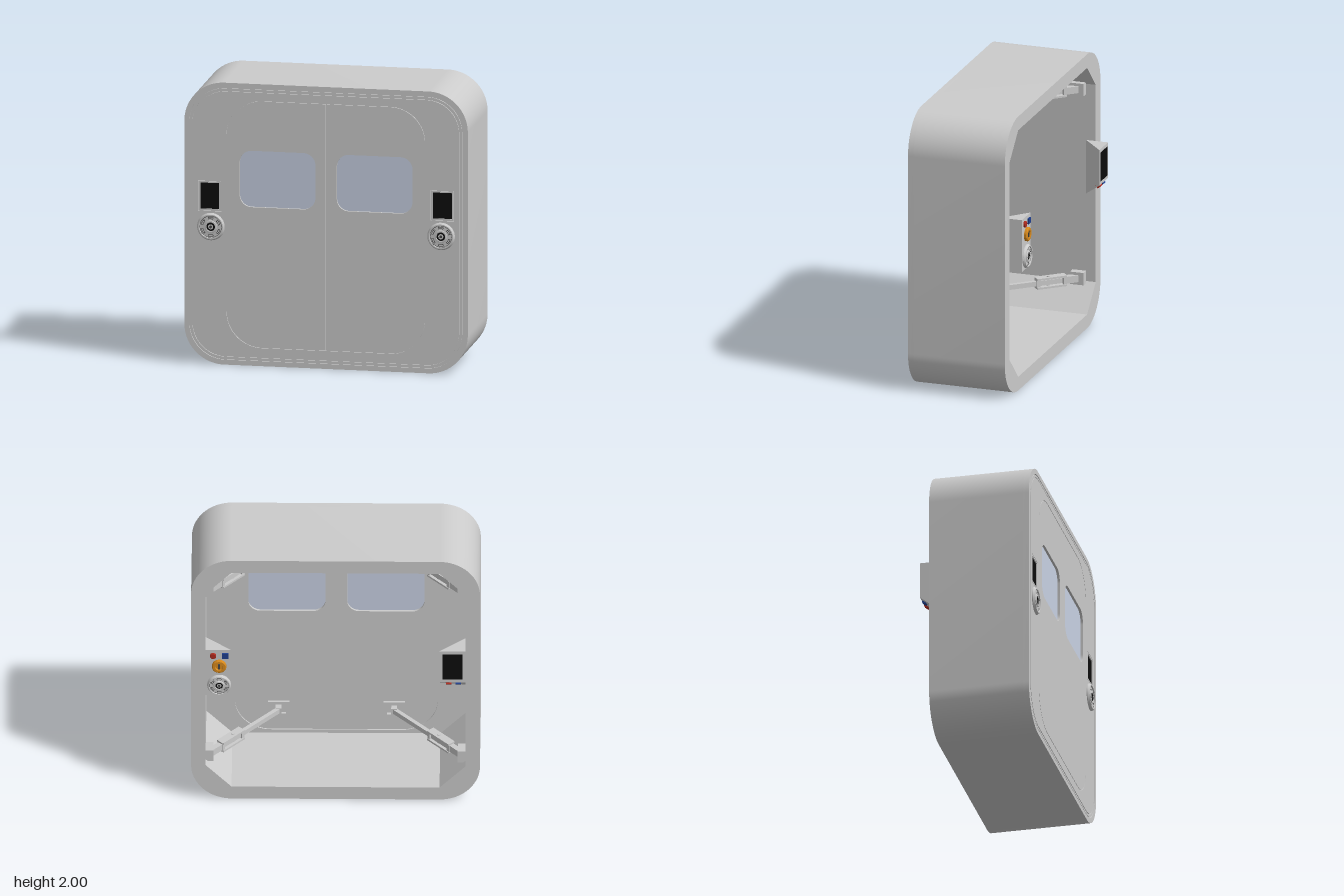
import * as THREE from 'three';
import { toCreasedNormals } from 'three/addons/utils/BufferGeometryUtils.js';

const material = (color) => new THREE.MeshStandardMaterial({ color });
const grey = material(0xcccccc), black = material(0x0c0c0c), dark = material(0x444444);
const glass = material(0xc9d2e4), red = material(0xb02a1e), blue = material(0x1f3f8f), orange = material(0xd98a1c);

// Rounded rectangle; rl and rr are the corner radii on its -x and +x sides
function roundRect(x0, y0, x1, y1, rl = 0, rr = rl, Type = THREE.Shape) {
  const p = new Type();
  p.moveTo(x0 + rl, y0);
  p.lineTo(x1 - rr, y0);
  if (rr) p.absarc(x1 - rr, y0 + rr, rr, -Math.PI / 2, 0);
  p.lineTo(x1, y1 - rr);
  if (rr) p.absarc(x1 - rr, y1 - rr, rr, 0, Math.PI / 2);
  p.lineTo(x0 + rl, y1);
  if (rl) p.absarc(x0 + rl, y1 - rl, rl, Math.PI / 2, Math.PI);
  p.lineTo(x0, y0 + rl);
  if (rl) p.absarc(x0 + rl, y0 + rl, rl, Math.PI, Math.PI * 1.5);
  return p;
}
const inset = (d) => roundRect(-1 + d, d, 1 - d, 2 - d, 0.28 - d * 0.8);
// Rectangle spanning x0..x1 on the chosen side
const sided = (s, x0, y0, x1, y1, r) =>
  s > 0 ? roundRect(x0, y0, x1, y1, r) : roundRect(-x1, y0, -x0, y1, r);

function add(parent, name, geometry, mat = grey, x = 0, y = 0, z = 0) {
  const mesh = new THREE.Mesh(geometry, mat);
  mesh.name = name;
  mesh.position.set(x, y, z);
  parent.add(mesh);
  return mesh;
}
function slab(parent, name, shape, z0, z1, holes = [], mat = grey) {
  shape.holes.push(...holes);
  const g = new THREE.ExtrudeGeometry(shape, { depth: z1 - z0, bevelEnabled: false, curveSegments: 14 });
  return add(parent, name, toCreasedNormals(g, 0.5), mat, 0, 0, z0);
}
// Turned part whose axis is +z, from [radius, height] points
function turned(points, segments = 40) {
  const g = new THREE.LatheGeometry(points.map(([r, h]) => new THREE.Vector2(r, h)), segments);
  return toCreasedNormals(g.rotateX(Math.PI / 2), 0.5);
}

// Round handle: flared rim, recessed track with arc slots, hub with socket
function dial(name, radius) {
  const g = new THREE.Group(), r = radius;
  g.name = name;
  add(g, 'dialBody', turned([[r, 0], [r, 0.006], [r * 0.9, 0.02], [r * 0.82, 0.02], [r * 0.8, 0.012],
    [r * 0.46, 0.012], [r * 0.44, 0.018], [r * 0.34, 0.02], [r * 0.3, 0.012], [0, 0.012]]));
  add(g, 'dialSocket', new THREE.TorusGeometry(r * 0.25, r * 0.06, 8, 28), black, 0, 0, 0.013);
  add(g, 'dialPin', turned([[r * 0.1, 0.01], [r * 0.1, 0.017], [0, 0.017]], 20), dark);
  add(g, 'dialTrackLine', new THREE.RingGeometry(r * 0.77, r * 0.8, 40), dark, 0, 0, 0.0125);
  for (let i = 0; i < 6; i++) {
    const a = i * Math.PI / 3 + Math.PI / 6 - 0.3;
    add(g, 'dialSlot', new THREE.RingGeometry(r * 0.56, r * 0.72, 8, 1, a, 0.6), dark, 0, 0, 0.0125);
    add(g, 'dialGrip', new THREE.RingGeometry(r * 0.6, r * 0.68, 8, 1, a + 0.06, 0.48), grey, 0, 0, 0.013);
  }
  return g;
}

// Wedge bracket fixed to the side wall; its back face lies on z = -0.4
function wedge(parent, name, s, y0, y1, lift) {
  const shape = new THREE.Shape([[0.9, 0.4], [0.72, 0.4], [0.9, 0.24]].map(([x, y]) => new THREE.Vector2(s * x, y)));
  const g = new THREE.ExtrudeGeometry(shape, { depth: y1 - y0, bevelEnabled: false });
  g.rotateX(-Math.PI / 2).translate(0, y0, 0);
  const p = g.attributes.position;
  for (let i = 0; i < p.count; i++)
    if (p.getY(i) < y0 + 0.001 && p.getZ(i) < -0.39) p.setY(i, y0 + lift);
  g.computeVertexNormals();
  return add(parent, name, g);
}

// Diagonal strut between side wall and door, with clevis and door plate
function strut(s, y) {
  const g = new THREE.Group(), bar = new THREE.Group();
  g.name = 'doorStrut';
  const dx = -s * 0.46, dz = 0.51, len = Math.hypot(dx, dz);
  bar.name = 'strutBar';
  bar.position.set(s * 0.86, y, -0.19);
  bar.rotation.y = Math.atan2(-dz, dx);
  g.add(bar);
  const box = (n, x, yy, z, w, h, d) => add(bar, n, new THREE.BoxGeometry(w, h, d), grey, x, yy, z);
  box('strutArm', len / 2 + 0.06, 0, 0, len - 0.12, 0.035, 0.03);
  box('clevisTail', 0.05, 0, 0, 0.12, 0.05, 0.04);
  for (const k of [-1, 1]) {
    box('clevisCheek', 0.2, k * 0.032, 0, 0.22, 0.014, 0.06);
    box('clevisBridge', 0.2 + k * 0.1, 0, 0, 0.025, 0.075, 0.05);
  }
  add(bar, 'clevisPin', new THREE.CylinderGeometry(0.012, 0.012, 0.09, 14), grey, 0.22);
  add(g, 'wallMount', new THREE.BoxGeometry(0.06, 0.09, 0.1), grey, s * 0.875, y, -0.19);
  const c = s * 0.4;
  slab(g, 'doorPlate', roundRect(c - 0.075, y - 0.06, c + 0.075, y + 0.06), 0.33, 0.35,
    [roundRect(c - 0.05, y - 0.038, c + 0.05, y + 0.038, 0, 0, THREE.Path)]);
  add(g, 'doorLug', new THREE.BoxGeometry(0.04, 0.05, 0.05), grey, c, y, 0.33);
  return g;
}

export function createModel() {
  const root = new THREE.Group();
  root.name = 'doorModule';
  const sides = [-1, 1];
  const windows = () => sides.map((s) => sided(s, 0.075, 1.125, 0.61, 1.525, 0.085));
  const screens = () => sides.map((s) => sided(s, 0.738, 1.085, 0.904, 1.3, 0));
  const doorway = () => roundRect(-0.703, 0.127, 0.703, 1.883, 0.25);

  // Hollow surround with chamfered inner corners
  const w = 0.9, c = 0.72;
  const octagon = new THREE.Path([[w, -c], [w, c], [c, w], [-c, w], [-w, c], [-w, -c], [-c, -w], [c, -w]]
    .map(([x, y]) => new THREE.Vector2(x, y + 1)));
  slab(root, 'surround', inset(0), -0.31, 0.36, [octagon]);

  // Front wall: core, rim band and framed skins with narrow gaps around the doors
  slab(root, 'wallCore', inset(0), 0.36, 0.39, windows());
  slab(root, 'frontRim', inset(0), 0.39, 0.4, [inset(0.035)]);
  slab(root, 'frontBead', inset(0.041), 0.39, 0.399, [inset(0.056)]);
  slab(root, 'frontFrame', inset(0.062), 0.39, 0.4, [doorway(), ...screens()]);
  slab(root, 'innerFrame', roundRect(-0.91, 0.09, 0.91, 1.91, 0.2), 0.35, 0.36, [doorway()]);

  for (const s of sides) {
    // Sliding door leaf, inside and outside skins, and its window
    for (const [z0, z1] of [[0.35, 0.36], [0.39, 0.4]]) {
      const leaf = s > 0 ? roundRect(0.004, 0.133, 0.697, 1.877, 0, 0.244) : roundRect(-0.697, 0.133, -0.004, 1.877, 0.244, 0);
      slab(root, 'doorLeaf', leaf, z0, z1, [sided(s, 0.075, 1.125, 0.61, 1.525, 0.085)]);
    }
    slab(root, 'windowPane', sided(s, 0.07, 1.12, 0.615, 1.53, 0.085), 0.367, 0.383, [], glass);

    // Outside screen and handle
    slab(root, 'screenFrame', sided(s, 0.742, 1.089, 0.9, 1.296, 0), 0.39, 0.4,
      [sided(s, 0.754, 1.1, 0.888, 1.285, 0)]);
    slab(root, 'outsideScreen', sided(s, 0.75, 1.095, 0.892, 1.29, 0), 0.388, 0.392, [], black);
    const handle = dial('outsideHandle', 0.097);
    handle.position.set(s * 0.812, 0.976, 0.4);
    root.add(handle);

    for (const y of [0.31, 1.69]) root.add(strut(s, y));
  }

  // Control panel on the left inner wall
  wedge(root, 'controlPanel', 1, 0.93, 1.31, 0);
  const controls = new THREE.Group();
  controls.name = 'panelControls';
  controls.position.set(0.805, 0, -0.4);
  controls.rotation.y = Math.PI;
  root.add(controls);
  const wheel = dial('panelHandle', 0.083);
  wheel.position.set(0, 1.02, 0);
  controls.add(wheel);
  add(controls, 'rotaryKnob', turned([[0.05, 0], [0.05, 0.016], [0.044, 0.022], [0.028, 0.022], [0.024, 0.012], [0, 0.012]]), orange, 0, 1.18, 0);
  add(controls, 'knobGrip', new THREE.BoxGeometry(0.014, 0.04, 0.012), dark, 0, 1.18, 0.014);
  add(controls, 'redButton', turned([[0.022, 0], [0.022, 0.012], [0.018, 0.015], [0, 0.015]], 24), red, -0.042, 1.265, 0);
  add(controls, 'blueButton', new THREE.BoxGeometry(0.044, 0.04, 0.024), blue, 0.042, 1.265, 0);

  // Display panel on the right inner wall, with buttons on its sloping underside
  wedge(root, 'displayPanel', -1, 0.92, 1.31, 0.13);
  slab(root, 'displayScreen', roundRect(-0.88, 1.075, -0.742, 1.285), -0.403, -0.395, [], black);
  const tilt = Math.atan2(0.16, 0.13);
  [[red, -0.785], [blue, -0.85]].forEach(([mat, x]) => {
    const b = add(root, 'undersideButton', new THREE.BoxGeometry(0.036, 0.03, 0.024), mat, x, 1.03, -0.375);
    b.rotation.x = -tilt;
  });
  return root;
}
